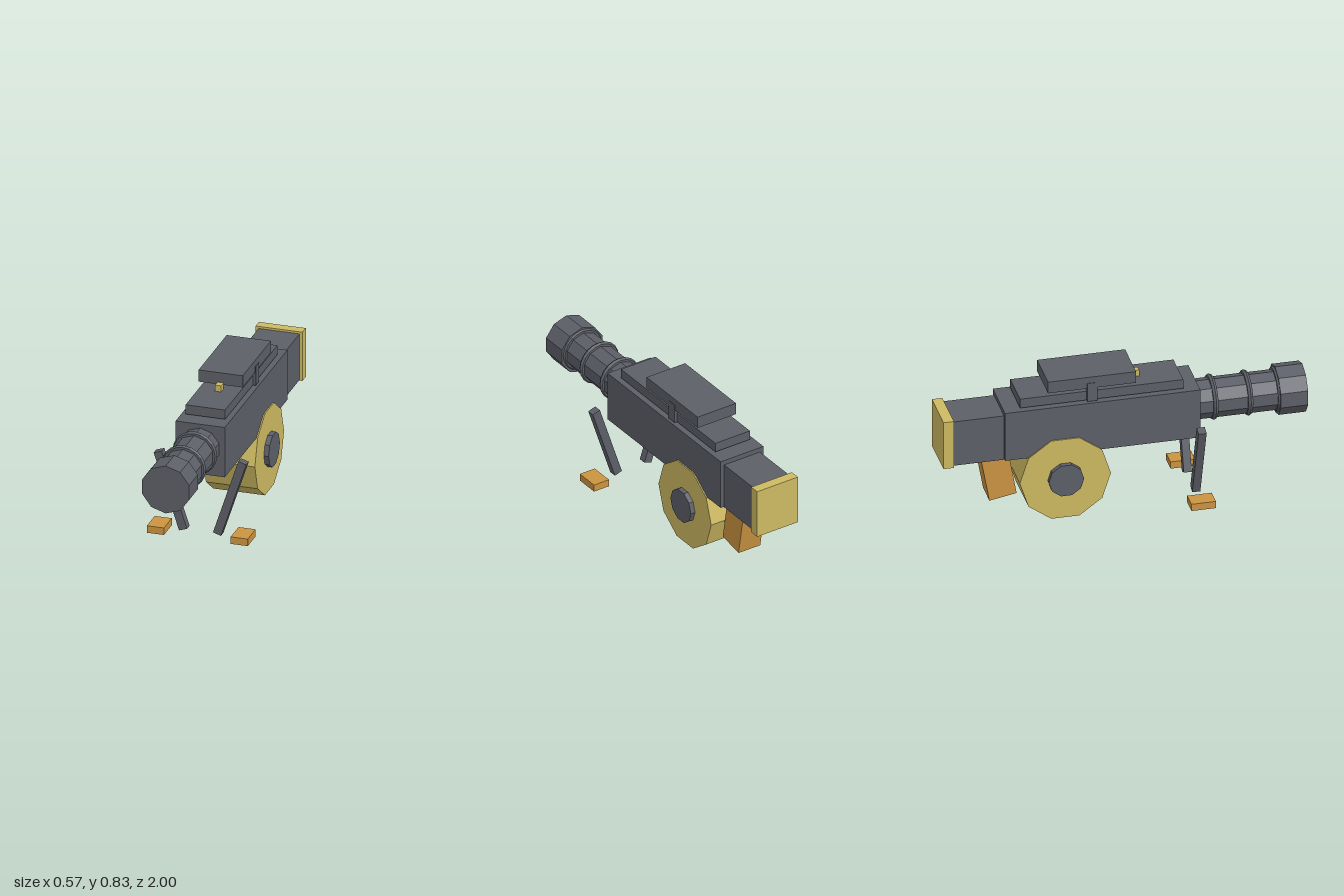
import * as THREE from 'three';

export function createModel() {
  const model = new THREE.Group();
  model.name = 'wheeledLauncher';

  const material = (name, color) => {
    const m = new THREE.MeshStandardMaterial({ color, flatShading: true });
    m.name = name;
    return m;
  };
  const gunmetal = material('gunmetal grey', 0x5c5f67);
  const brass = material('brass yellow', 0xcdba62);
  const orange = material('orange wood', 0xcb9441);

  const add = (name, geometry, mat, x, y, z) => {
    const mesh = new THREE.Mesh(geometry, mat);
    mesh.name = name;
    mesh.position.set(x, y, z);
    model.add(mesh);
    return mesh;
  };
  // Box given by its minimum and maximum on each axis
  const box = (name, mat, [x0, x1], [y0, y1], [z0, z1]) =>
    add(name, new THREE.BoxGeometry(x1 - x0, y1 - y0, z1 - z0), mat,
      (x0 + x1) / 2, (y0 + y1) / 2, (z0 + z1) / 2);
  // Ten-sided cylinders along z and along x
  const alongZ = (name, mat, r, z0, z1, y) =>
    add(name, new THREE.CylinderGeometry(r, r, z1 - z0, 10).rotateX(Math.PI / 2), mat, 0, y, (z0 + z1) / 2);
  const alongX = (name, mat, r, width, y, z) =>
    add(name, new THREE.CylinderGeometry(r, r, width, 10).rotateZ(Math.PI / 2), mat, 0, y, z);

  // Body, rear block and end cap
  box('body', gunmetal, [-0.138, 0.138], [0.385, 0.675], [-0.664, 0.408]);
  box('rearBlock', gunmetal, [-0.115, 0.115], [0.38, 0.648], [-0.945, -0.66]);
  box('endCap', brass, [-0.131, 0.131], [0.376, 0.66], [-1, -0.943]);

  // Barrel, muzzle and rings
  alongZ('barrel', gunmetal, 0.11, 0.4, 0.86, 0.543);
  alongZ('muzzle', gunmetal, 0.138, 0.85, 1, 0.543);
  for (const z of [0.5, 0.69, 0.853]) {
    add('barrelRing', new THREE.TorusGeometry(0.11, 0.015, 6, 20), gunmetal, 0, 0.546, z);
  }

  // Top rail, raised plate and sight bead
  box('topRail', gunmetal, [-0.111, 0.111], [0.682, 0.736], [-0.575, 0.32]);
  box('raisedPlate', gunmetal, [-0.124, 0.124], [0.759, 0.827], [-0.425, 0.058]);
  box('sightBead', brass, [-0.017, 0.017], [0.735, 0.772], [0.06, 0.102]);

  // Wheel and hub
  alongX('wheel', brass, 0.25, 0.29, 0.238, -0.335);
  alongX('hub', gunmetal, 0.097, 0.344, 0.238, -0.335);

  // Slanted grip
  const grip = add('grip', new THREE.BoxGeometry(0.14, 0.3, 0.152), orange, 0, 0.274, -0.685);
  grip.rotation.x = -0.178;

  // Paired plate posts, legs and feet
  for (const s of [-1, 1]) {
    add('platePost', new THREE.BoxGeometry(0.032, 0.11, 0.055), gunmetal, s * 0.111, 0.736, -0.183);
    const leg = add('leg', new THREE.BoxGeometry(0.047, 0.456, 0.044), gunmetal, s * 0.166, 0.266, 0.39);
    leg.rotation.z = -s * 0.317;
    add('foot', new THREE.BoxGeometry(0.096, 0.041, 0.135), orange, s * 0.235, 0.045, 0.39);
  }

  return model;
}
